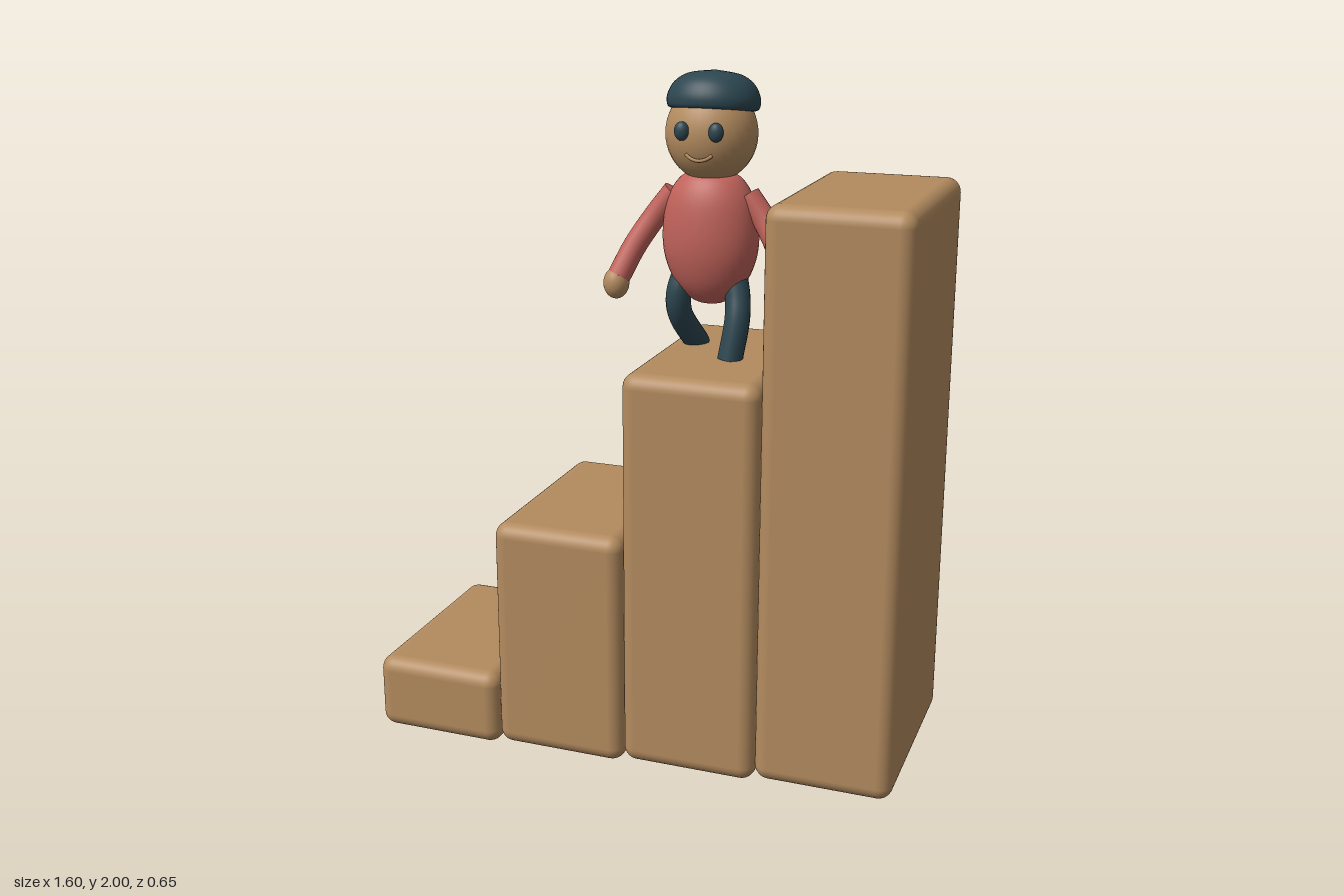
import * as THREE from 'three';
import { RoundedBoxGeometry } from 'three/addons/geometries/RoundedBoxGeometry.js';

const V = (x, y, z) => new THREE.Vector3(x, y, z);

function material(name, color) {
  const m = new THREE.MeshStandardMaterial({ color });
  m.name = name;
  return m;
}

export function createModel() {
  const tan = material('tan', 0xb38b5f);
  const red = material('shirt red', 0xc0625a);
  const dark = material('dark teal', 0x2c4650);
  const model = new THREE.Group();
  model.name = 'figureOnSteps';

  function add(parent, name, geometry, mat, x = 0, y = 0, z = 0) {
    const mesh = new THREE.Mesh(geometry, mat);
    mesh.name = name;
    mesh.position.set(x, y, z);
    parent.add(mesh);
    return mesh;
  }

  function ellipsoid(parent, name, mat, pos, radii) {
    const geometry = new THREE.SphereGeometry(1, 32, 24).scale(...radii);
    return add(parent, name, geometry, mat, ...pos);
  }

  // smooth closed profile turned around the y axis
  function turned(points) {
    const curve = new THREE.SplineCurve(points.map(([r, y]) => new THREE.Vector2(r, y)));
    const profile = curve.getPoints(32);
    profile.forEach((p) => { p.x = Math.max(p.x, 0); });
    return new THREE.LatheGeometry(profile, 40);
  }

  // bent tube with flat ends
  function limb(parent, name, points, radius, mat) {
    const group = new THREE.Group();
    group.name = name;
    const curve = new THREE.CatmullRomCurve3(points.map((p) => V(...p)));
    add(group, name + 'Tube', new THREE.TubeGeometry(curve, 24, radius, 16), mat);
    for (const t of [0, 1]) {
      const end = curve.getPoint(t);
      const cap = add(group, name + 'End', new THREE.CircleGeometry(radius, 16), mat, end.x, end.y, end.z);
      const out = curve.getTangent(t).multiplyScalar(t ? 1 : -1);
      cap.quaternion.setFromUnitVectors(V(0, 0, 1), out);
    }
    parent.add(group);
  }

  // four rising blocks, each lifted slightly above the last
  const steps = new THREE.Group();
  steps.name = 'steps';
  model.add(steps);
  for (let i = 0; i < 4; i++) {
    const bottom = i * 0.0145;
    const top = 0.23 + i * 0.49;
    add(steps, 'step' + (i + 1), new RoundedBoxGeometry(0.4, top - bottom, 0.65, 4, 0.042), tan,
      -0.6 + i * 0.4, (top + bottom) / 2, 0);
  }

  // figure standing on the third step
  const figure = new THREE.Group();
  figure.name = 'figure';
  figure.position.set(0.155, 0, 0);
  model.add(figure);

  const torso = turned([[0, 1.35], [0.05, 1.362], [0.1, 1.41], [0.131, 1.48], [0.139, 1.555],
    [0.127, 1.64], [0.1, 1.695], [0.065, 1.722], [0, 1.73]]);
  add(figure, 'torso', torso, red).scale.z = 0.75;

  // arms and hands
  for (const side of [-1, 1]) {
    const label = side < 0 ? 'right' : 'left';
    limb(figure, label + 'Arm', [[0.108, 1.665, 0], [0.165, 1.59, 0.008], [0.214, 1.51, 0.035],
      [0.25, 1.425, 0.072]].map(([x, y, z]) => [x * side, y, z]), 0.034, red);
    ellipsoid(figure, label + 'Hand', tan, [side * 0.256, 1.406, 0.077], [0.037, 0.045, 0.037]);
  }

  // legs in mid stride
  limb(figure, 'rightLeg', [[-0.07, 1.45, 0], [-0.088, 1.38, 0.018], [-0.09, 1.32, 0.005],
    [-0.068, 1.205, -0.095]], 0.036, dark);
  limb(figure, 'leftLeg', [[0.07, 1.45, 0], [0.088, 1.38, 0.02], [0.094, 1.32, 0.04],
    [0.08, 1.205, 0.06]], 0.036, dark);

  // head, face and cap
  ellipsoid(figure, 'head', tan, [0, 1.832, 0], [0.13, 0.135, 0.117]);
  for (const side of [-1, 1]) {
    ellipsoid(figure, side < 0 ? 'rightEye' : 'leftEye', dark, [side * 0.049, 1.848, 0.112], [0.021, 0.026, 0.016]);
  }
  const smile = new THREE.CatmullRomCurve3([V(-0.038, 1.785, 0.108), V(-0.02, 1.774, 0.113),
    V(0, 1.77, 0.115), V(0.02, 1.774, 0.113), V(0.038, 1.785, 0.108)]);
  add(figure, 'smile', new THREE.TubeGeometry(smile, 20, 0.005, 8), tan);

  const cap = turned([[0, -0.012], [0.06, -0.012], [0.118, -0.01], [0.131, 0.008], [0.127, 0.036],
    [0.108, 0.066], [0.07, 0.088], [0, 0.098]]);
  const hat = add(figure, 'cap', cap, dark, 0, 1.904, -0.013);
  hat.scale.z = 0.9;
  hat.rotation.x = -0.13;

  return model;
}
